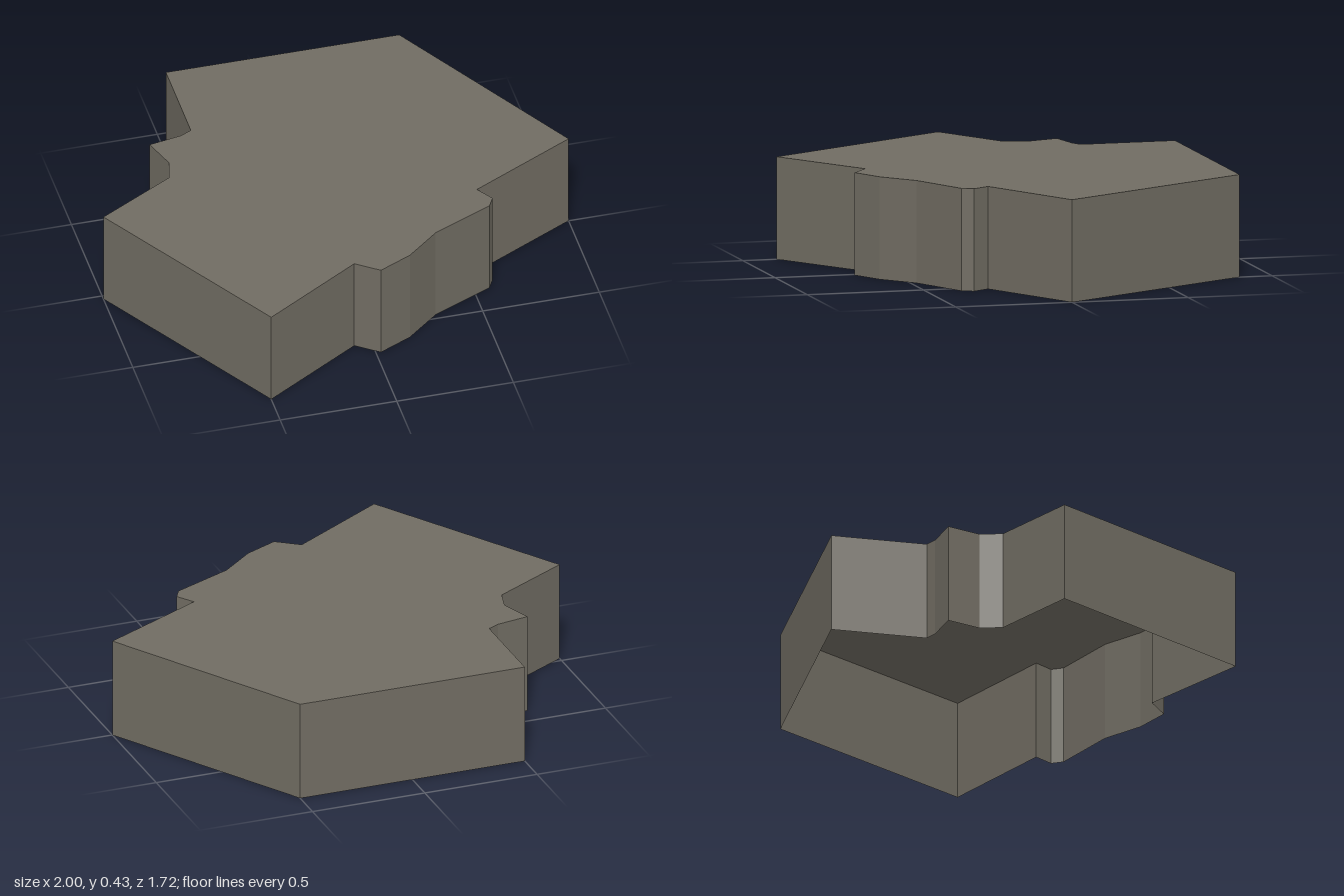
import * as THREE from 'three';
import { mergeGeometries } from 'three/addons/utils/BufferGeometryUtils.js';

const HEIGHT = 0.43;

// Plan outline as [x, z], clockwise seen from above
const OUTLINE = [
  [-0.5, -0.86], [0.5, -0.86], [1, 0],
  [0.545, 0.235], [0.593, 0.308], [0.567, 0.356], [0.305, 0.475],
  [0.163, 0.595], [0.021, 0.663], [-0.075, 0.592],
  [-0.5, 0.855], [-1, 0.021],
  [-0.668, -0.168], [-0.643, -0.263], [-0.69, -0.404], [-0.548, -0.43], [-0.5, -0.455],
];

// One upright panel between two outline points, facing outward
function wallPanel([ax, az], [bx, bz]) {
  const dx = bx - ax, dz = bz - az;
  return new THREE.PlaneGeometry(Math.hypot(dx, dz), HEIGHT)
    .rotateY(Math.atan2(dz, -dx))
    .translate((ax + bx) / 2, HEIGHT / 2, (az + bz) / 2);
}

export function createModel() {
  const group = new THREE.Group();
  group.name = 'rockSlab';

  const stone = new THREE.MeshStandardMaterial({ color: 0x706c62, side: THREE.DoubleSide });
  stone.name = 'grey stone';

  // Flat top
  const shape = new THREE.Shape(OUTLINE.map(([x, z]) => new THREE.Vector2(x, -z)));
  const topGeometry = new THREE.ShapeGeometry(shape).rotateX(-Math.PI / 2).translate(0, HEIGHT, 0);
  const top = new THREE.Mesh(topGeometry, stone);
  top.name = 'top';

  // Side walls all round; the underside is open
  const panels = OUTLINE.map((p, i) => wallPanel(p, OUTLINE[(i + 1) % OUTLINE.length]));
  const walls = new THREE.Mesh(mergeGeometries(panels), stone);
  walls.name = 'walls';

  group.add(top, walls);
  return group;
}
